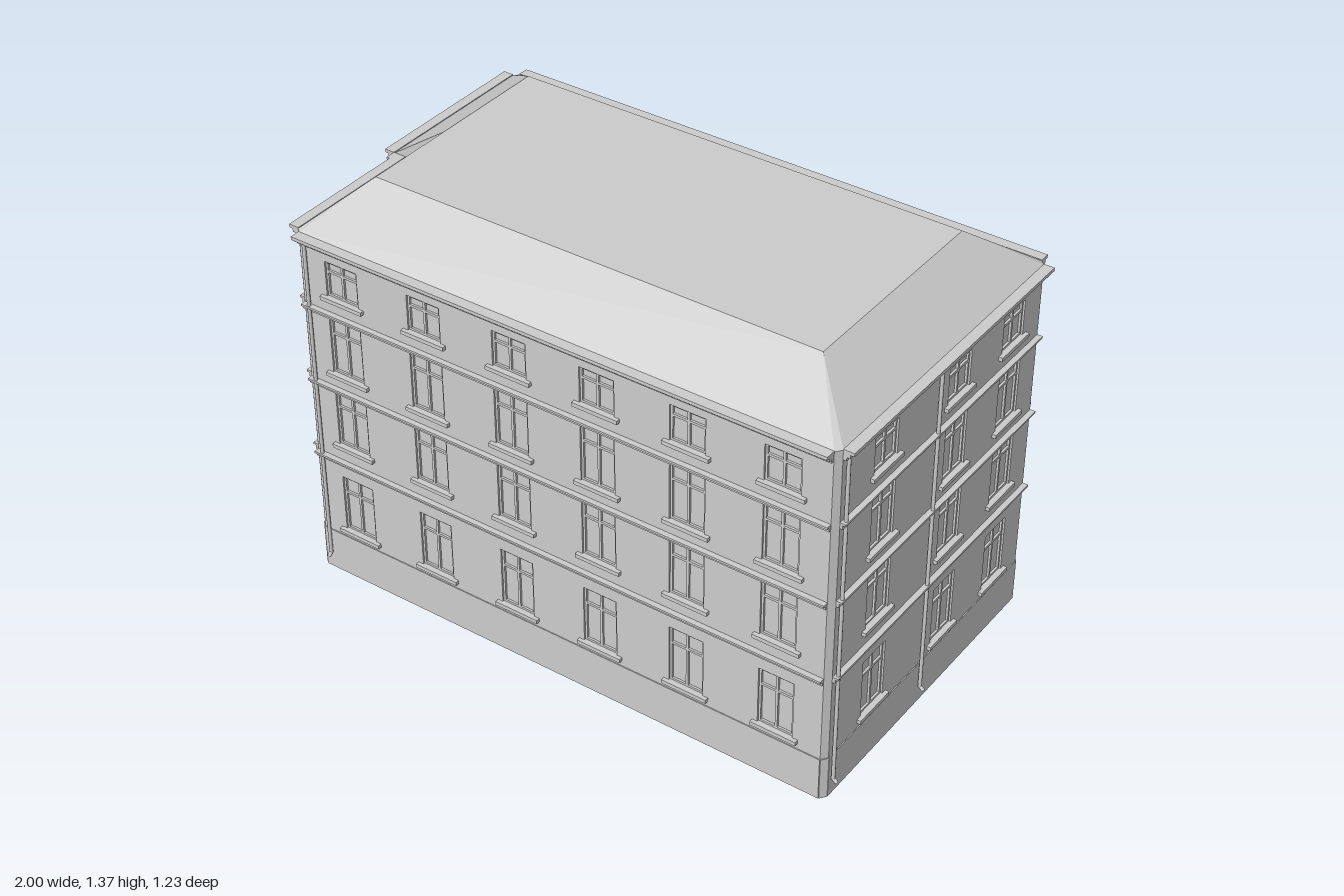
import * as THREE from 'three';

const material = new THREE.MeshStandardMaterial({ color: 0xcccccc, side: THREE.DoubleSide });

// Footprint corners [x, z], walked front, right, back, left; small chamfers at the corners
const plan = [
  [-0.89, 0.55], [0.93, 0.55], [0.945, 0.53], [0.945, -0.535], [0.93, -0.55],
  [-0.935, -0.55], [-0.95, -0.535], [-0.95, 0.05], [-0.905, 0.05], [-0.905, 0.535],
];
const top = 1.225, baseTop = 0.148;

// Window sill level and head level of every storey
const storeys = [[0.18, 0.38], [0.505, 0.7], [0.77, 0.967], [1.04, 1.16]];
const bands = [0.439, 0.711, 0.978];

// Facades keyed by the index of their first corner; positions run along x or z
const facades = {
  0: { name: 'frontWall', axis: 0, windows: [-0.74, -0.437, -0.132, 0.17, 0.472, 0.777], pipes: [-0.865] },
  2: { name: 'rightWall', axis: 1, windows: [0.305, -0.08, -0.38], pipes: [0.515, 0.04] },
  4: {
    name: 'backWall', axis: 0, windows: [0.71, 0.35, 0.07, -0.22, -0.51, -0.8], pipes: [0.915, 0.495],
    shops: [0.35, 0.07, -0.51, -0.8], door: -0.22,
  },
  6: { name: 'leftRearWall', axis: 1, windows: [-0.37, -0.1], pipes: [] },
  7: { name: 'stepWall', axis: 0, windows: [], pipes: [] },
  8: { name: 'leftFrontWall', axis: 1, windows: [0.33], pipes: [0.075, 0.51] },
};

function add(parent, name, geometry, x = 0, y = 0, z = 0) {
  const mesh = new THREE.Mesh(geometry, material);
  mesh.name = name;
  mesh.position.set(x, y, z);
  parent.add(mesh);
  return mesh;
}

// Box given by its left/right, bottom/top and back/front limits
function block(parent, name, x0, x1, y0, y1, z0, z1) {
  return add(parent, name, new THREE.BoxGeometry(x1 - x0, y1 - y0, z1 - z0),
    (x0 + x1) / 2, (y0 + y1) / 2, (z0 + z1) / 2);
}

// Recessed pane with frame, mullion and transom
function addWindow(wall, o) {
  const g = new THREE.Group();
  g.name = o.kind;
  wall.add(g);
  const { x0, x1, y0, y1 } = o;
  const x = (x0 + x1) / 2, f = 0.007, rail = y0 + (y1 - y0) * 0.7;
  block(g, 'pane', x0, x1, y0, y1, -0.015, -0.013);
  for (const [a, b] of [[x0, x0 + f], [x1 - f, x1]]) block(g, 'frameSide', a, b, y0, y1, -0.013, -0.006);
  for (const y of [y0, y1 - f]) block(g, 'frameRail', x0, x1, y, y + f, -0.013, -0.006);
  block(g, 'transom', x0, x1, rail - 0.004, rail + 0.004, -0.013, -0.006);
  if (o.kind === 'shopWindow') {
    block(g, 'surroundTop', x0 - 0.01, x1 + 0.01, y1, y1 + 0.01, 0, 0.007);
    for (const e of [x0 - 0.01, x1]) block(g, 'surroundSide', e, e + 0.01, y0, y1, 0, 0.006);
  } else {
    block(g, 'mullion', x - 0.004, x + 0.004, y0, y1, -0.013, -0.006);
  }
  block(g, 'sill', x0 - 0.018, x1 + 0.018, y0 - 0.013, y0, -0.01, 0.013);
}

// Double door with top light, panels, surround and hood
function addDoor(wall, o) {
  const g = new THREE.Group();
  g.name = 'door';
  wall.add(g);
  const { x0, x1, y0, y1 } = o;
  const x = (x0 + x1) / 2, head = y0 + (y1 - y0) * 0.75;
  block(g, 'doorLeaves', x0, x1, y0, y1, -0.015, -0.012);
  block(g, 'doorTransom', x0, x1, head, head + 0.012, -0.012, -0.004);
  block(g, 'doorMeetingRail', x - 0.005, x + 0.005, y0, y1, -0.012, -0.007);
  for (const s of [-1, 1]) {
    const c = x + s * (x1 - x0) / 4;
    block(g, 'doorPanel', c - 0.018, c + 0.018, y0 + 0.02, y0 + 0.06, -0.012, -0.009);
    block(g, 'doorPanel', c - 0.018, c + 0.018, y0 + 0.08, head - 0.015, -0.012, -0.009);
    const e = s < 0 ? x0 : x1;
    block(g, 'doorJamb', Math.min(e, e + s * 0.022), Math.max(e, e + s * 0.022), y0, y1 + 0.015, 0, 0.01);
  }
  block(g, 'doorHood', x0 - 0.03, x1 + 0.03, y1 + 0.008, y1 + 0.022, 0, 0.018);
  block(g, 'doorHead', x0, x1, y1, y1 + 0.015, 0, 0.01);
}

// Wall standing on one footprint edge: local x along the edge, local +z outwards
function buildWall(index) {
  const a = plan[index], b = plan[(index + 1) % plan.length];
  const dx = b[0] - a[0], dz = b[1] - a[1], length = Math.hypot(dx, dz);
  const wall = new THREE.Group();
  const spec = facades[index];
  wall.name = spec ? spec.name : 'cornerChamfer';
  wall.position.set(a[0], 0, a[1]);
  wall.rotation.y = Math.atan2(-dz, dx);

  const along = (p) => Math.abs(p - a[spec.axis]);
  const openings = [];
  if (spec) {
    spec.windows.forEach((p) => storeys.forEach(([y0, y1], floor) => {
      const c = along(p);
      if (floor === 0 && p === spec.door) {
        openings.push({ kind: 'door', x0: c - 0.065, x1: c + 0.065, y0: 0.15, y1: 0.385 });
      } else if (floor === 0 && spec.shops?.includes(p)) {
        openings.push({ kind: 'shopWindow', x0: c - 0.1, x1: c + 0.1, y0: 0.168, y1: 0.395 });
      } else {
        openings.push({ kind: 'window', x0: c - 0.059, x1: c + 0.059, y0, y1 });
      }
    }));
  }

  // Masonry with the openings cut out
  const rect = (P, x0, x1, y0, y1) =>
    new P([[x0, y0], [x1, y0], [x1, y1], [x0, y1]].map(([x, y]) => new THREE.Vector2(x, y)));
  const shape = rect(THREE.Shape, 0, length, 0, top);
  shape.holes = openings.map((o) => rect(THREE.Path, o.x0, o.x1, o.y0, o.y1));
  add(wall, 'masonry', new THREE.ExtrudeGeometry(shape, { depth: 0.015, bevelEnabled: false }), 0, 0, -0.015);
  block(wall, 'plinth', 0, length, 0, baseTop, -0.02, 0.003);
  if (!spec) return wall;

  openings.forEach((o) => (o.kind === 'door' ? addDoor : addWindow)(wall, o));

  // Storey bands and stepped eaves cornice
  for (const y of bands) {
    block(wall, 'bandLower', 0, length, y - 0.011, y + 0.002, 0, 0.009);
    block(wall, 'bandUpper', 0, length, y + 0.002, y + 0.009, 0, 0.018);
  }
  block(wall, 'corniceLower', 0, length, 1.194, 1.206, 0, 0.011);
  block(wall, 'corniceMiddle', 0, length, 1.206, 1.217, 0, 0.022);
  block(wall, 'corniceUpper', 0, length, 1.217, 1.228, 0, 0.034);

  // Downpipes with a turned-out foot
  for (const p of spec.pipes) {
    add(wall, 'downpipe', new THREE.CylinderGeometry(0.006, 0.006, 1.14, 8), along(p), 0.63, 0.01);
    const foot = add(wall, 'downpipeFoot', new THREE.CylinderGeometry(0.006, 0.006, 0.02, 8), along(p), 0.058, 0.015);
    foot.rotation.x = -Math.PI / 4;
  }
  return wall;
}

// Hipped roof: footprint outline rising to a flat rectangular top
function roofGeometry() {
  const ridgeY = 1.366, v = [];
  const low = plan.map(([x, z]) => [x, top, z]);
  const high = plan.map(([x, z]) => [
    THREE.MathUtils.clamp(x, -0.75, 0.77), ridgeY, THREE.MathUtils.clamp(z, -0.36, 0.36)]);
  plan.forEach((_, i) => {
    const j = (i + 1) % plan.length;
    v.push(low[i], low[j], high[j], low[i], high[j], high[i], [0, ridgeY, 0], high[i], high[j]);
  });
  const geometry = new THREE.BufferGeometry();
  geometry.setAttribute('position', new THREE.Float32BufferAttribute(v.flat(), 3));
  geometry.computeVertexNormals();
  return geometry;
}

export function createModel() {
  const model = new THREE.Group();
  model.name = 'apartmentBuilding';
  const building = new THREE.Group();
  building.name = 'building';
  building.rotation.y = 0.037;
  model.add(building);
  plan.forEach((_, i) => building.add(buildWall(i)));
  add(building, 'roof', roofGeometry());
  return model;
}
